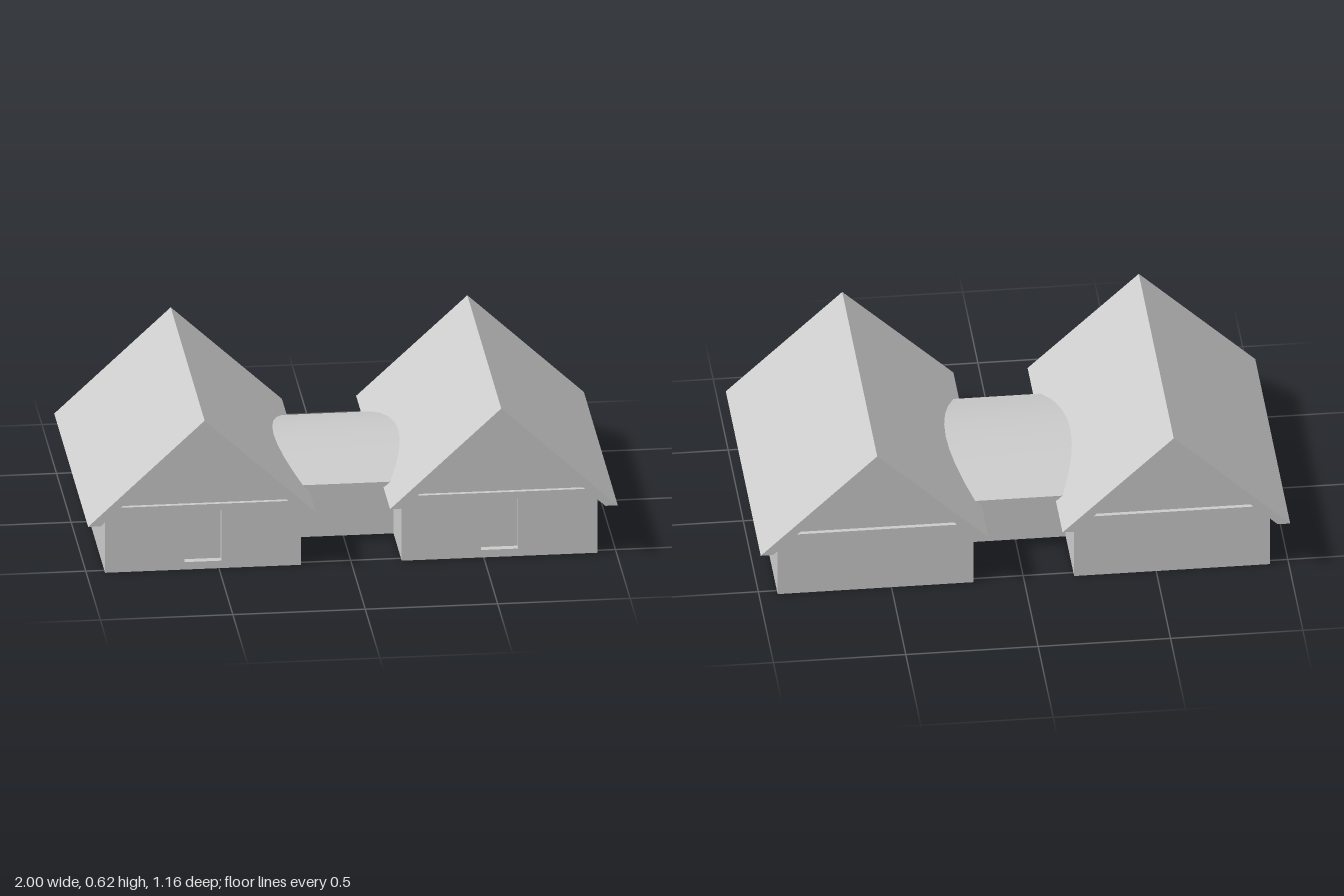
import * as THREE from 'three';
import { toCreasedNormals } from 'three/addons/utils/BufferGeometryUtils.js';

const material = new THREE.MeshStandardMaterial({ color: 0xcccccc });

const shapeOf = (points) => new THREE.Shape(points.map(([x, y]) => new THREE.Vector2(x, y)));

// Extrusion along z between z0 and z1
function prism(shape, z0, z1) {
  const geometry = new THREE.ExtrudeGeometry(shape, { depth: z1 - z0, bevelEnabled: false });
  return geometry.translate(0, 0, z0);
}

function add(parent, name, geometry) {
  const mesh = new THREE.Mesh(geometry, material);
  mesh.name = name;
  parent.add(mesh);
  return mesh;
}

function rectangle(x0, x1, y0, y1) {
  return [[x0, y0], [x1, y0], [x1, y1], [x0, y1]];
}

// One gabled house; side is +1 (left) or -1 (right), outer eave is lower
function house(side) {
  const group = new THREE.Group();
  group.name = side > 0 ? 'leftHouse' : 'rightHouse';
  group.position.x = 0.56 * side;

  // Walls, with a front layer pierced by the doorway
  const wall = rectangle(-0.37, 0.37, 0, 0.26);
  add(group, 'walls', prism(shapeOf(wall), -0.525, 0.495));
  const front = shapeOf(wall);
  front.holes.push(new THREE.Path(
    rectangle(-0.07, 0.07, 0.03, 0.235).map(([x, y]) => new THREE.Vector2(x, y)).reverse()));
  add(group, 'frontWallWithDoorway', prism(front, 0.495, 0.525));

  // Slightly recessed gable triangles
  add(group, 'gables', prism(shapeOf([[-0.35, 0.255], [0.35, 0.255], [0, 0.58]]), -0.508, 0.508));

  // Overhanging roof with two slopes
  const roof = [[0.44, 0.21], [0, 0.62], [-0.42, 0.232], [-0.37, 0.232], [0, 0.577], [0.393, 0.21]];
  add(group, 'roof', prism(shapeOf(roof.map(([x, y]) => [x * side, y])), -0.58, 0.58));
  return group;
}

export function createModel() {
  const model = new THREE.Group();
  model.name = 'twinHouses';
  model.add(house(1), house(-1));

  // Connecting passage between the houses
  add(model, 'passageWalls', prism(shapeOf(rectangle(-0.19, 0.19, 0, 0.235)), -0.245, 0.245));

  // Shallow arched roof over the passage, running across x
  const arch = [[-0.36, 0.235], [0.36, 0.235]];
  const segments = 8;
  for (let i = 0; i <= segments; i++) {
    const t = 1 - (2 * i) / segments;
    arch.push([0.36 * t, 0.255 + 0.065 * (1 - t * t)]);
  }
  const vault = prism(shapeOf(arch), -0.235, 0.235).rotateY(Math.PI / 2);
  add(model, 'passageRoof', toCreasedNormals(vault, 0.3));

  return model;
}
